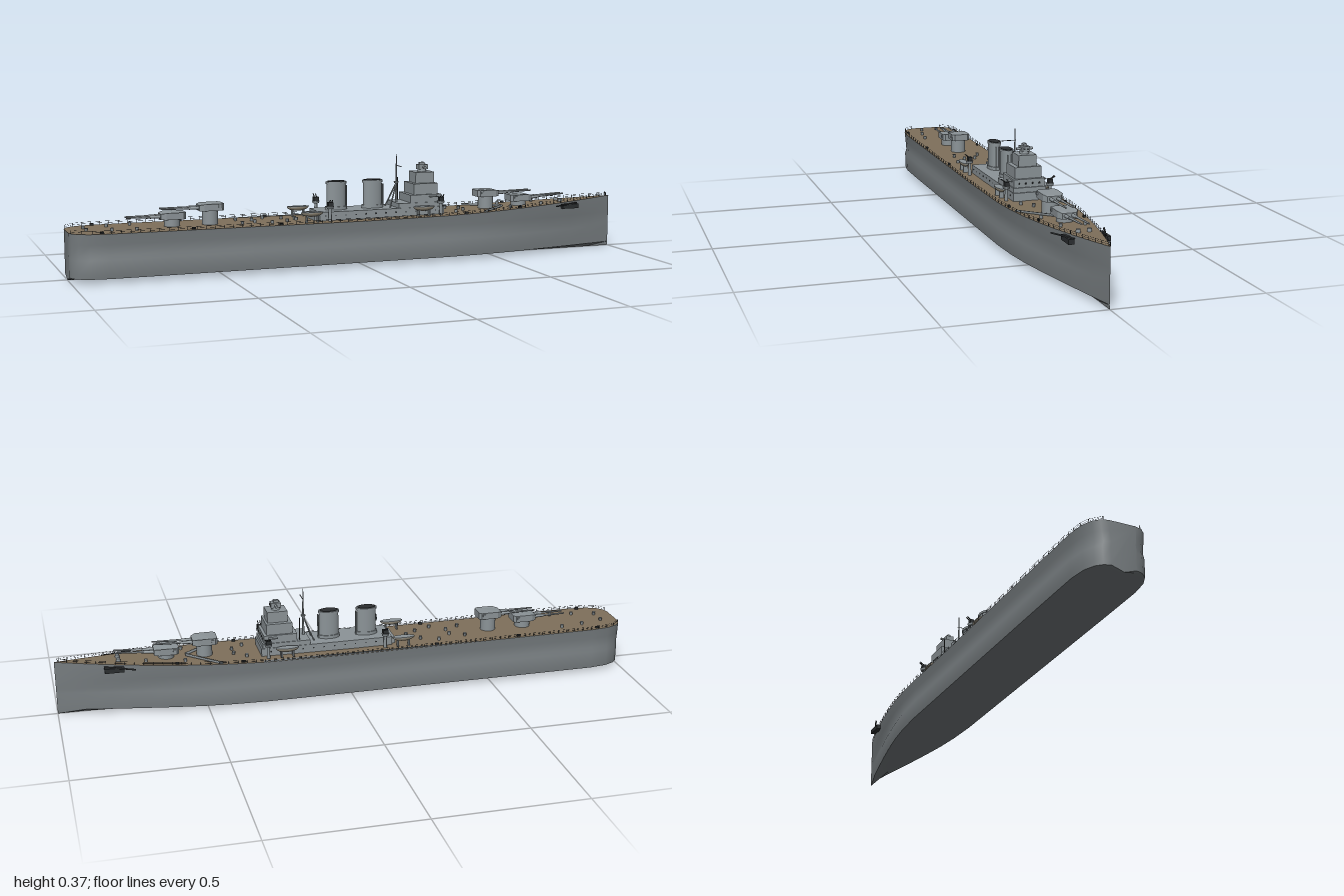
import * as THREE from 'three';
import { mergeGeometries, toCreasedNormals } from 'three/addons/utils/BufferGeometryUtils.js';

const mat = (name, color, side = THREE.FrontSide) => {
  const m = new THREE.MeshStandardMaterial({ color, side });
  m.name = name;
  return m;
};

// Hull stations: x, half width at deck, lower-body fullness
const STATIONS = [
  [-1, 0.045, 0.93], [-0.993, 0.068, 0.95], [-0.975, 0.087, 0.97], [-0.94, 0.102, 0.99], [-0.88, 0.109, 1],
  [-0.7, 0.11, 1], [-0.4, 0.11, 1], [0, 0.11, 1], [0.3, 0.11, 1], [0.42, 0.105, 0.99], [0.52, 0.096, 0.97],
  [0.62, 0.082, 0.94], [0.72, 0.065, 0.9], [0.82, 0.045, 0.86], [0.91, 0.024, 0.83], [1, 0.001, 0.8],
];
const deckY = (x) => 0.157 + 0.004 * Math.max(0, -x) + (x > 0.1 ? 0.03 * ((x - 0.1) / 0.9) ** 1.6 : 0);
const halfWidth = (x) => {
  let i = 0;
  while (i < STATIONS.length - 2 && STATIONS[i + 1][0] < x) i++;
  const [a, b] = [STATIONS[i], STATIONS[i + 1]];
  return a[1] + (b[1] - a[1]) * (x - a[0]) / (b[0] - a[0]);
};

function surface(positions, index) {
  const g = new THREE.BufferGeometry();
  g.setAttribute('position', new THREE.Float32BufferAttribute(positions, 3));
  g.setIndex(index);
  g.computeVertexNormals();
  return g;
}

// Lofts the side and bottom plating through the stations
function hullGeometry() {
  const pos = [], idx = [];
  const side = (x, w, f) => [[w, deckY(x)], [w * 0.965, 0.125], [w * 0.95 * f, 0.09], [w * f, 0.075],
    [w * f, 0.03], [w * f * 0.985, 0.014]];
  for (const [x, w, f] of STATIONS) {
    const half = side(x, w, f);
    const ring = [...half, [0, 0.0], ...half.reverse().map(([z, y]) => [-z, y])];
    ring.forEach(([z, y]) => pos.push(x, y, z));
  }
  const n = 13;
  for (let i = 0; i < STATIONS.length - 1; i++)
    for (let j = 0; j < n - 1; j++) {
      const a = i * n + j, b = a + n;
      idx.push(a, a + 1, b, a + 1, b + 1, b);
    }
  for (let j = 1; j < n - 1; j++) idx.push(0, j + 1, j);
  return toCreasedNormals(surface(pos, idx), 0.6);
}

function deckGeometry() {
  const pos = [], idx = [];
  STATIONS.forEach(([x, w], i) => {
    pos.push(x, deckY(x), w, x, deckY(x), -w);
    if (i) idx.push(2 * i - 2, 2 * i, 2 * i - 1, 2 * i, 2 * i + 1, 2 * i - 1);
  });
  return surface(pos, idx);
}

// A box given by its extents
const boxGeo = (x0, x1, y0, y1, z0, z1) =>
  new THREE.BoxGeometry(x1 - x0, y1 - y0, z1 - z0).translate((x0 + x1) / 2, (y0 + y1) / 2, (z0 + z1) / 2);

// A thin rod between two points
function rodGeo(a, b, r, r2 = r, sides = 6) {
  const A = new THREE.Vector3(...a), B = new THREE.Vector3(...b), d = B.clone().sub(A);
  const g = new THREE.CylinderGeometry(r2, r, d.length(), sides);
  g.applyQuaternion(new THREE.Quaternion().setFromUnitVectors(new THREE.Vector3(0, 1, 0), d.normalize()));
  return g.translate(...A.add(B).multiplyScalar(0.5).toArray());
}

export function createModel() {
  const ship = new THREE.Group();
  ship.name = 'warship';
  const hullGrey = mat('hull grey', 0x777d80);
  const grey = mat('superstructure grey', 0x8c9498);
  const wood = mat('deck brown', 0x7f705b);
  const dark = mat('dark fittings', 0x2b2e30);
  const boatTan = mat('boat tan', 0x9a917f);
  const add = (name, geo, material, parent = ship) => {
    const m = new THREE.Mesh(geo, material);
    m.name = name;
    parent.add(m);
    return m;
  };

  add('hull', hullGeometry(), hullGrey);
  add('deck', deckGeometry(), wood);

  // Grey waterway along the starboard deck edge
  const strip = new THREE.Shape([[-0.45, 0.108], [0.33, 0.108], [0.33, 0.094], [0, 0.098]].map((p) => new THREE.Vector2(...p)));
  add('waterway', new THREE.ExtrudeGeometry(strip, { depth: 0.003, bevelEnabled: false })
    .rotateX(-Math.PI / 2).translate(0, 0.157, 0), hullGrey);

  // Guard rails
  const rails = [];
  for (const s of [1, -1]) {
    let prev = null;
    for (let i = 0; i <= 64; i++) {
      const x = -0.995 + i * 0.031, p = [x, deckY(x), s * Math.max(0.001, halfWidth(x) - 0.001)];
      rails.push(boxGeo(x - 0.0007, x + 0.0007, p[1], p[1] + 0.011, p[2] - 0.0007, p[2] + 0.0007));
      if (prev) for (const h of [0.0055, 0.011])
        rails.push(rodGeo([prev[0], prev[1] + h, prev[2]], [p[0], p[1] + h, p[2]], 0.0004, 0.0004, 4));
      prev = p;
    }
  }
  add('guardRails', mergeGeometries(rails), dark);

  // Main gun turrets: a chamfered house on a barbette, with twin barrels
  function turret(name, x, floor, dir, reach, lift) {
    const g = new THREE.Group();
    g.name = name;
    const base = deckY(x) - 0.005;
    add('barbette', new THREE.CylinderGeometry(0.027, 0.027, floor - base, 24)
      .translate(0, (floor + base) / 2, 0), grey, g);
    const plan = new THREE.Shape([[-0.042, -0.024], [-0.034, -0.033], [0.026, -0.033], [0.042, -0.023],
      [0.042, 0.023], [0.026, 0.033], [-0.034, 0.033], [-0.042, 0.024]].map((p) => new THREE.Vector2(...p)));
    const house = new THREE.ExtrudeGeometry(plan, { depth: 0.023, bevelEnabled: false }).rotateX(-Math.PI / 2);
    const p = house.attributes.position;
    // slope the roof down toward the face
    for (let i = 0; i < p.count; i++) if (p.getY(i) > 0.01 && p.getX(i) > 0.03) p.setY(i, 0.019);
    house.computeVertexNormals();
    add('gunHouse', house.translate(0, floor, 0), grey, g);
    for (const z of [-0.012, 0.012]) {
      add('barrel', rodGeo([0.03, floor + 0.01, z], [reach, floor + 0.01 + lift, z], 0.0042, 0.0026, 10), grey, g);
      add('barrelSleeve', rodGeo([0.038, floor + 0.01, z], [0.075, floor + 0.01 + lift * 0.2, z], 0.006, 0.005, 10), grey, g);
    }
    add('rangefinder', boxGeo(-0.03, -0.021, floor + 0.011, floor + 0.019, -0.037, 0.037), grey, g);
    g.position.x = x;
    if (dir < 0) g.rotation.y = Math.PI;
    ship.add(g);
  }
  turret('foreUpperTurret', 0.497, 0.208, 1, 0.175, 0.004);
  turret('foreLowerTurret', 0.628, 0.186, 1, 0.175, 0.008);
  turret('aftUpperTurret', -0.52, 0.207, -1, 0.17, 0.001);
  turret('aftLowerTurret', -0.65, 0.184, -1, 0.155, 0.001);

  // Deckhouse and stepped bridge tower
  add('deckhouse', boxGeo(-0.15, 0.31, 0.15, 0.187, -0.058, 0.058), grey);
  add('aftPlatform', boxGeo(-0.165, -0.1, 0.15, 0.178, -0.045, 0.045), grey);
  add('bridgeBase', boxGeo(0.14, 0.305, 0.187, 0.203, -0.056, 0.056), grey);
  add('lowerBridge', boxGeo(0.185, 0.3, 0.203, 0.23, -0.053, 0.053), grey);
  add('middleBridge', boxGeo(0.2, 0.29, 0.23, 0.268, -0.046, 0.046), grey);
  add('upperBridge', boxGeo(0.213, 0.283, 0.268, 0.306, -0.031, 0.031), grey);
  add('directorPedestal', new THREE.CylinderGeometry(0.014, 0.016, 0.012, 16).translate(0.248, 0.311, 0), grey);
  add('director', boxGeo(0.232, 0.266, 0.314, 0.331, -0.014, 0.014), grey);
  add('directorRangefinder', rodGeo([0.25, 0.322, -0.028], [0.25, 0.322, 0.028], 0.0045, 0.0045, 12), grey);
  add('directorCap', boxGeo(0.238, 0.256, 0.331, 0.339, -0.006, 0.006), grey);
  for (const s of [-1, 1]) {
    add('bridgeWing', boxGeo(0.255, 0.285, 0.221, 0.224, s * 0.053 - 0.012, s * 0.053 + 0.012), grey);
    add('directorWindow', boxGeo(0.266, 0.268, 0.32, 0.325, s * 0.006 - 0.003, s * 0.006 + 0.003), dark);
  }

  // Portholes on the bridge front and deckhouse sides
  const ports = [];
  for (const z of [-0.035, -0.012, 0.012, 0.035]) ports.push(boxGeo(0.3, 0.302, 0.213, 0.218, z - 0.0025, z + 0.0025));
  for (const s of [-1, 1]) for (let i = 0; i < 12; i++) {
    const x = -0.13 + i * 0.037;
    ports.push(boxGeo(x - 0.002, x + 0.002, 0.172, 0.176, s * 0.058 - 0.001, s * 0.058 + 0.001));
  }
  add('portholes', mergeGeometries(ports), dark);

  // Two oval funnels
  for (const x of [-0.072, 0.062]) {
    const g = new THREE.Group();
    g.name = 'funnel';
    const oval = (r, y0, y1) => new THREE.CylinderGeometry(r, r, y1 - y0, 32).translate(0, (y0 + y1) / 2, 0);
    add('casing', oval(0.034, 0.187, 0.28), grey, g);
    add('base', oval(0.039, 0.187, 0.198), grey, g);
    add('rim', oval(0.037, 0.276, 0.284), grey, g);
    add('mouth', oval(0.031, 0.283, 0.286), dark, g);
    g.scale.z = 0.6;
    g.position.x = x;
    ship.add(g);
    for (const s of [-1, 1])
      add('steamPipe', rodGeo([x + 0.037, 0.187, s * 0.006], [x + 0.037, 0.27, s * 0.006], 0.002), grey);
  }

  // Tripod mast with yard
  add('mast', rodGeo([0.152, 0.187, 0], [0.152, 0.37, 0], 0.0045, 0.0015, 8), grey);
  for (const s of [-1, 1]) add('mastLeg', rodGeo([0.12, 0.187, s * 0.025], [0.152, 0.27, 0], 0.0025), grey);
  add('mastTop', new THREE.CylinderGeometry(0.009, 0.007, 0.006, 12).translate(0.152, 0.272, 0), grey);
  add('yard', rodGeo([0.152, 0.331, -0.004], [0.152, 0.331, 0.047], 0.0013), dark);
  add('signalPole', rodGeo([0.175, 0.203, -0.046], [0.175, 0.283, -0.046], 0.0016), dark);

  // Ship's boats on chocks
  const boat = new THREE.SphereGeometry(1, 20, 8, 0, Math.PI * 2, Math.PI / 2, Math.PI / 2);
  const boatTop = new THREE.CylinderGeometry(1, 1, 0.15, 20);
  for (const s of [-1, 1]) for (const x of [-0.185, 0.225]) {
    const g = new THREE.Group();
    g.name = 'boat';
    add('boatHull', boat, boatTan, g);
    add('boatCover', boatTop, grey, g);
    g.scale.set(0.04, 0.015, 0.014);
    g.position.set(x, 0.192, s * 0.078);
    ship.add(g);
    for (const dx of [-0.02, 0.02]) add('chock', boxGeo(x + dx - 0.002, x + dx + 0.002, 0.155, 0.184, s * 0.078 - 0.008, s * 0.078 + 0.008), grey);
  }

  // Anti-aircraft mounts beside the superstructure
  for (const s of [-1, 1]) for (const x of [-0.12, 0.29]) {
    const z = s * 0.076;
    add('gunPost', rodGeo([x, 0.157, z], [x, 0.205, z], 0.006, 0.005, 10), grey);
    add('gunTub', new THREE.CylinderGeometry(0.013, 0.011, 0.008, 16).translate(x, 0.205, z), grey);
    add('gunMount', boxGeo(x - 0.009, x + 0.009, 0.209, 0.223, z - 0.007, z + 0.007), dark);
    for (const d of [-0.004, 0.004])
      add('lightBarrel', rodGeo([x + d, 0.22, z], [x + d, 0.232, z + s * 0.016], 0.0018), dark);
  }

  // Anchors, davits and breakwaters near the bow
  for (const s of [-1, 1]) {
    add('anchor', boxGeo(0.775, 0.84, 0.155, 0.171, s * 0.058 - 0.009, s * 0.058 + 0.009), dark);
    add('anchorStem', rodGeo([0.74, 0.168, s * 0.085], [0.84, 0.173, s * 0.05], 0.003), dark);
    add('breakwater', rodGeo([0.56, 0.17, s * 0.004], [0.45, 0.166, s * 0.098], 0.005, 0.005, 4), grey);
    add('capstan', new THREE.CylinderGeometry(0.007, 0.008, 0.012, 12).translate(0.79, 0.181, s * 0.018), grey);
  }
  add('jackstaff', rodGeo([0.985, 0.185, 0], [0.985, 0.203, 0], 0.001), dark);

  // Ventilators, hatches and bollards scattered along the deck
  [[-0.94, 0.03], [-0.86, 0.05], [-0.78, 0.06], [-0.42, 0.045], [-0.37, 0.02], [-0.32, 0.06], [-0.26, 0.035],
    [-0.22, 0.01], [0.36, 0.05], [0.4, 0.02], [0.57, 0.055], [0.7, 0.04]].forEach(([x, z], i) => {
    for (const s of [-1, 1])
      add('ventilator', new THREE.CylinderGeometry(0.006, 0.005, 0.011, 10).translate(x, deckY(x) + 0.005, s * z), i % 3 ? grey : hullGrey);
  });
  for (const s of [-1, 1]) for (const x of [-0.9, -0.6, -0.3, 0.38, 0.6])
    add('bollard', boxGeo(x - 0.006, x + 0.006, deckY(x), deckY(x) + 0.007, s * (halfWidth(x) - 0.01) - 0.003, s * (halfWidth(x) - 0.01) + 0.003), dark);

  return ship;
}
